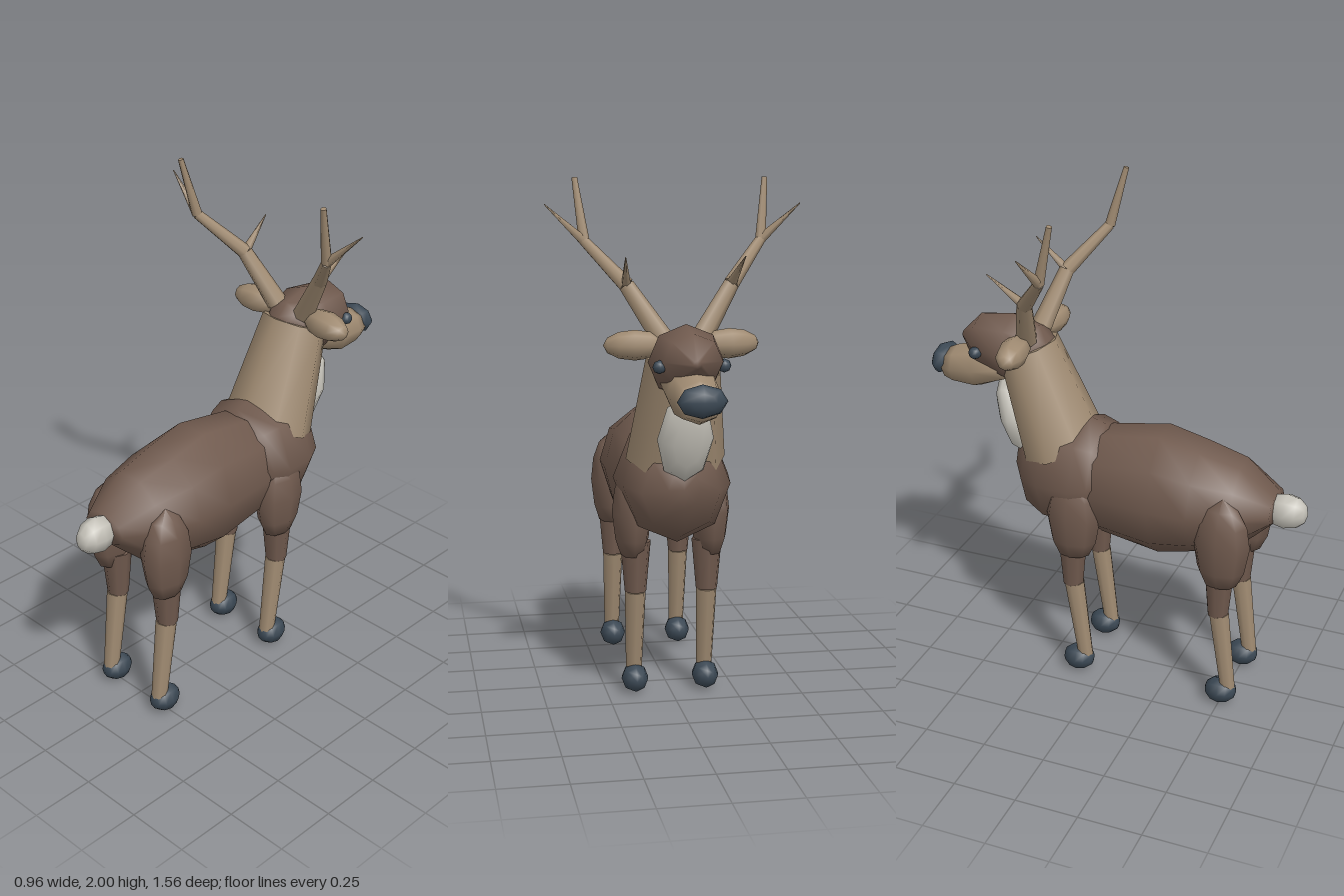
import * as THREE from 'three';

const material = (name, color) => {
  const m = new THREE.MeshStandardMaterial({ color });
  m.name = name;
  return m;
};

export function createModel() {
  const brown = material('brown fur', 0x705a4e);
  const tan = material('tan fur and antler', 0xa08b72);
  const dark = material('slate hoof and nose', 0x3b4854);
  const white = material('pale fur', 0xc4c1b8);

  const deer = new THREE.Group();
  deer.name = 'deer';

  const add = (name, geometry, mat) => {
    const mesh = new THREE.Mesh(geometry, mat);
    mesh.name = name;
    deer.add(mesh);
    return mesh;
  };

  // Ellipsoid with its poles along z
  const blob = (name, mat, pos, radii, w = 8, h = 6) => {
    const g = new THREE.SphereGeometry(1, w, h).rotateX(Math.PI / 2);
    const mesh = add(name, g.scale(...radii), mat);
    mesh.position.set(...pos);
    return mesh;
  };

  // Closed skin over elliptical rings [z, y, rx, ry], ordered by rising z
  const loft = (name, mat, rings, sides = 8) => {
    const pos = [], index = [];
    rings.forEach(([z, y, rx, ry]) => {
      for (let j = 0; j < sides; j++) {
        const a = (j / sides) * Math.PI * 2;
        pos.push(Math.cos(a) * rx, y + Math.sin(a) * ry, z);
      }
    });
    const last = rings.length - 1, back = rings.length * sides, front = back + 1;
    pos.push(0, rings[0][1], rings[0][0], 0, rings[last][1], rings[last][0]);
    for (let j = 0; j < sides; j++) {
      const k = (j + 1) % sides;
      for (let i = 0; i < last; i++) {
        const a = i * sides, b = a + sides;
        index.push(a + j, a + k, b + k, a + j, b + k, b + j);
      }
      index.push(back, k, j, front, last * sides + j, last * sides + k);
    }
    const g = new THREE.BufferGeometry();
    g.setAttribute('position', new THREE.Float32BufferAttribute(pos, 3));
    g.setIndex(index);
    g.computeVertexNormals();
    return add(name, g, mat);
  };

  // Tapered limb between two points; depth flattens it front to back
  const limb = (name, mat, from, to, r0, r1, sides = 8, depth = 1) => {
    const a = new THREE.Vector3(...from), b = new THREE.Vector3(...to);
    const dir = b.clone().sub(a);
    const g = new THREE.CylinderGeometry(r1, r0, dir.length(), sides);
    const mesh = add(name, g.scale(1, 1, depth), mat);
    mesh.position.copy(a).add(b).multiplyScalar(0.5);
    mesh.quaternion.setFromUnitVectors(new THREE.Vector3(0, 1, 0), dir.normalize());
    return mesh;
  };

  // Trunk
  loft('body', brown, [
    [-0.15, 0.85, 0.12, 0.15], [-0.04, 0.845, 0.19, 0.225], [0.2, 0.845, 0.212, 0.265],
    [0.36, 0.845, 0.21, 0.225], [0.52, 0.85, 0.17, 0.18], [0.655, 0.86, 0.1, 0.06],
  ], 10).geometry.computeBoundingSphere();
  loft('chest', brown, [
    [-0.41, 0.87, 0.06, 0.07], [-0.35, 0.85, 0.15, 0.165], [-0.26, 0.86, 0.205, 0.22],
    [-0.12, 0.87, 0.225, 0.235], [-0.05, 0.88, 0.2, 0.2], [0.02, 0.88, 0.12, 0.1],
  ]);
  blob('tail', white, [0, 0.85, 0.695], [0.06, 0.075, 0.085]);

  // Neck and throat patch
  limb('neck', tan, [0, 0.96, -0.22], [0, 1.36, -0.37], 0.19, 0.137, 8, 0.87);
  const bib = blob('throatPatch', white, [0, 1.065, -0.425], [0.105, 0.18, 0.065]);
  bib.rotation.x = -0.28;

  // Head
  loft('head', brown, [
    [-0.65, 1.365, 0.015, 0.015], [-0.57, 1.365, 0.108, 0.1], [-0.43, 1.35, 0.14, 0.135],
    [-0.32, 1.36, 0.1, 0.09], [-0.275, 1.365, 0.055, 0.04],
  ]);
  loft('muzzle', tan, [
    [-0.72, 1.235, 0.075, 0.06], [-0.68, 1.237, 0.085, 0.077],
    [-0.58, 1.25, 0.1, 0.095], [-0.45, 1.28, 0.1, 0.07],
  ]);
  blob('nose', dark, [0, 1.25, -0.738], [0.09, 0.06, 0.042]);

  // Thigh profile as [radius, height], widest in the middle
  const thigh = [[0, 0.565], [0.065, 0.565], [0.095, 0.63], [0.114, 0.74],
    [0.1, 0.83], [0.065, 0.895], [0, 0.935]].map(p => new THREE.Vector2(...p));

  for (const s of [1, -1]) {
    const side = s > 0 ? 'left' : 'right';

    // Eyes and ears
    blob(side + 'Eye', dark, [s * 0.117, 1.347, -0.545], [0.025, 0.025, 0.025]);
    const earGeometry = new THREE.SphereGeometry(1, 8, 6).rotateZ(Math.PI / 2).scale(0.115, 0.056, 0.06);
    const ear = add(side + 'Ear', earGeometry, tan);
    ear.position.set(s * 0.175, 1.403, -0.353);
    ear.rotation.y = -s * 0.12;

    // Antlers: a bent beam with two tines
    const base = [s * 0.07, 1.42, -0.345], fork = [s * 0.195, 1.615, -0.29];
    const crown = [s * 0.333, 1.77, -0.165];
    limb(side + 'AntlerBase', tan, base, fork, 0.042, 0.03, 7);
    limb(side + 'AntlerBeam', tan, fork, crown, 0.03, 0.02, 7);
    limb(side + 'AntlerTip', tan, crown, [s * 0.36, 2, -0.108], 0.021, 0.011, 7);
    limb(side + 'OuterTine', tan, crown, [s * 0.48, 1.905, -0.183], 0.02, 0.002, 6);
    limb(side + 'FrontTine', tan, fork, [s * 0.218, 1.725, -0.43], 0.02, 0.002, 6);

    // Legs: front pair and hind pair
    for (const [pair, z, drop] of [['Front', -0.125, 0.03], ['Hind', 0.488, 0]]) {
      const x = s * 0.14;
      const upper = add(side + pair + 'Thigh', new THREE.LatheGeometry(thigh, 8).scale(0.68, 1, 1), brown);
      upper.position.set(s * 0.152, 0, z);
      upper.scale.y = 1 - drop;
      upper.position.y = drop * 0.565;
      limb(side + pair + 'Knee', brown, [x, 0.42, z - 0.008], [x, 0.62, z - 0.008], 0.042, 0.06);
      limb(side + pair + 'Shin', tan, [x, 0.08, z + 0.043], [x, 0.42, z - 0.003], 0.031, 0.041);
      blob(side + pair + 'Hoof', dark, [x, 0.063, z + 0.014], [0.053, 0.056, 0.065]);
    }
  }
  return deer;
}
